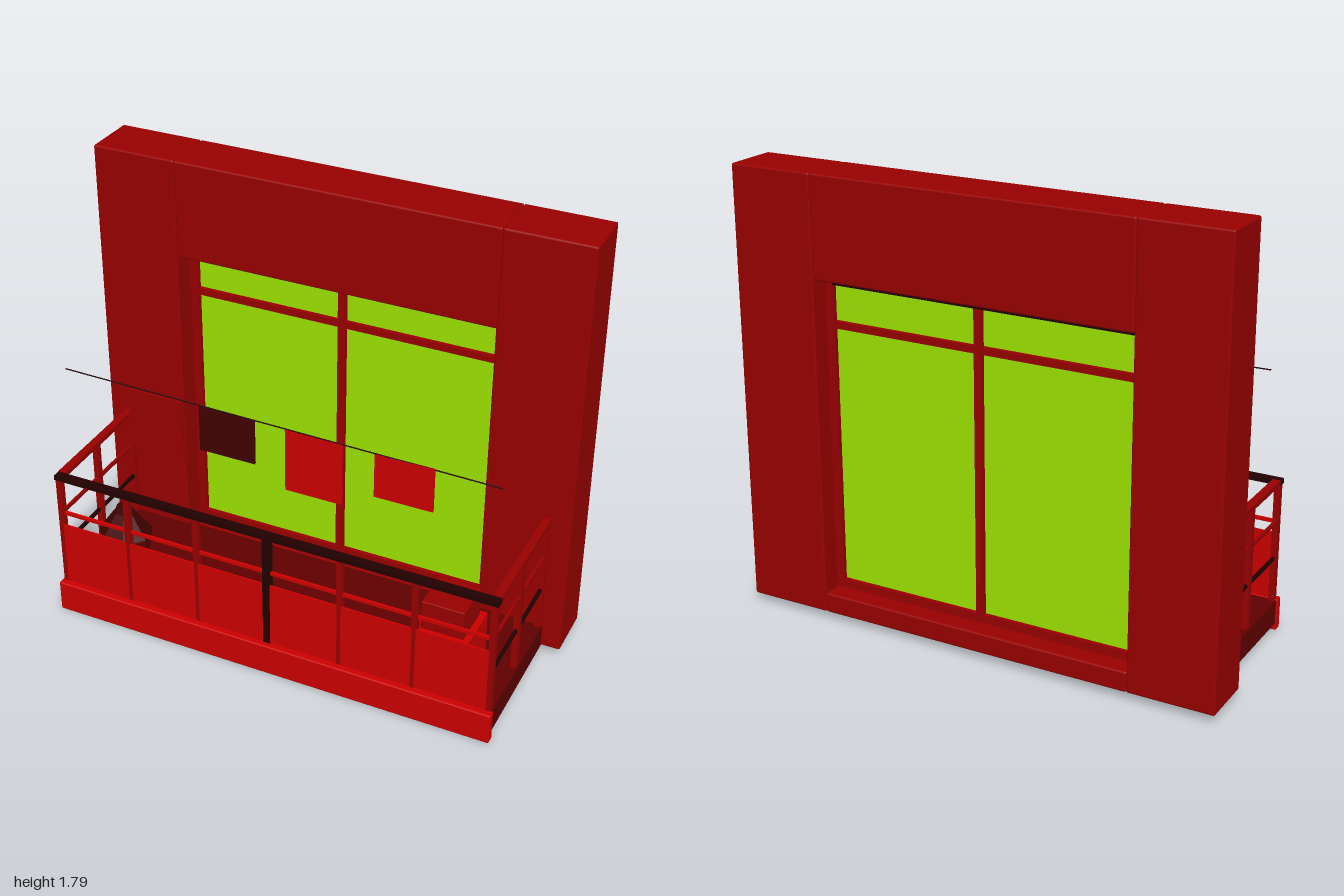
import * as THREE from 'three';
import { RoundedBoxGeometry } from 'three/addons/geometries/RoundedBoxGeometry.js';

export function createModel() {
  const model = new THREE.Group();
  model.name = 'balconyWindow';

  const mat = (name, color) => {
    const m = new THREE.MeshStandardMaterial({ color });
    m.name = name;
    return m;
  };
  const wallRed = mat('wallRed', 0x990000);
  const brightRed = mat('brightRed', 0xcc0000);
  const floorRed = mat('floorRed', 0x600000);
  const darkCloth = mat('darkCloth', 0x420000);
  const darkMetal = mat('darkMetal', 0x220000);
  const glassGreen = mat('glassGreen', 0x9ce300);

  const add = (name, geometry, material, parent = model) => {
    const mesh = new THREE.Mesh(geometry, material);
    mesh.name = name;
    parent.add(mesh);
    return mesh;
  };
  // Box given by its limits on each axis, optionally with softened edges
  const box = (name, material, [x0, x1], [y0, y1], [z0, z1], parent = model, r = 0) => {
    const size = [x1 - x0, y1 - y0, z1 - z0];
    const g = r ? new RoundedBoxGeometry(...size, 2, r) : new THREE.BoxGeometry(...size);
    const mesh = add(name, g, material, parent);
    mesh.position.set((x0 + x1) / 2, (y0 + y1) / 2, (z0 + z1) / 2);
    return mesh;
  };
  const group = (name) => {
    const g = new THREE.Group();
    g.name = name;
    model.add(g);
    return g;
  };

  // Wall: two piers, lintel and sill
  const wall = group('wall');
  const wallZ = [-0.405, -0.181];
  box('rightPier', wallRed, [-1, -0.654], [0.033, 1.79], wallZ, wall, 0.008);
  box('leftPier', wallRed, [0.654, 1], [0.033, 1.79], wallZ, wall, 0.008);
  box('lintel', wallRed, [-0.654, 0.654], [1.39, 1.79], wallZ, wall, 0.008);
  box('sill', wallRed, [-0.654, 0.654], [0.033, 0.115], wallZ, wall, 0.008);

  // Window: frame, bars and glass
  const win = group('window');
  const frameZ = [-0.325, -0.28];
  for (const s of [-1, 1]) {
    const x = s * 0.638;
    box('frameSide', wallRed, [x - 0.018, x + 0.018], [0.11, 1.39], frameZ, win);
  }
  box('frameTop', darkMetal, [-0.64, 0.62], [1.358, 1.392], [-0.33, -0.27], win);
  box('frameBottom', wallRed, [-0.62, 0.62], [0.11, 0.15], frameZ, win);
  box('mullion', wallRed, [-0.016, 0.016], [0.15, 1.358], frameZ, win);
  box('transom', wallRed, [-0.62, 0.62], [1.188, 1.216], frameZ, win);
  box('glass', glassGreen, [-0.62, 0.62], [0.15, 1.358], [-0.307, -0.298], win);

  // Balcony floor and front fascia
  box('floorSlab', floorRed, [-0.922, 0.922], [0.03, 0.13], [-0.195, 0.375]);
  box('fascia', brightRed, [-0.927, 0.927], [0, 0.132], [0.368, 0.405], model, 0.006);

  // Front railing: posts, panels and rails
  const railing = group('railing');
  const postX = 0.906, step = postX / 3, railZ = 0.366;
  for (let i = -3; i <= 3; i++) {
    const x = i * step;
    const center = i === 0;
    const half = center ? 0.015 : 0.012;
    box('frontPost', center ? darkMetal : wallRed, [x - half, x + half], [0.13, 0.622],
      [railZ - half, railZ + half], railing);
    if (i < 3) {
      box('panel', brightRed, [x + 0.008, x + step - 0.008], [0.135, 0.41],
        [railZ + 0.006, railZ + 0.0135], railing);
    }
  }
  box('handrail', darkMetal, [-0.922, 0.922], [0.618, 0.638], [0.347, 0.381], railing);
  box('frontRail', brightRed, [-postX, postX], [0.455, 0.468], [railZ - 0.006, railZ + 0.006], railing);

  // Side railings
  for (const s of [-1, 1]) {
    const x = s * postX;
    box('sideHandrail', wallRed, [x - 0.016, x + 0.016], [0.62, 0.64], [-0.185, 0.347], railing);
    box('sideRail', wallRed, [x - 0.006, x + 0.006], [0.455, 0.468], [-0.185, railZ], railing);
    box('sideLowerRail', darkMetal, [x - 0.006, x + 0.006], [0.304, 0.316], [-0.185, railZ], railing);
    for (const z of [0.095, -0.178]) {
      box('sidePost', wallRed, [x - 0.012, x + 0.012], [0.13, 0.622], [z - 0.012, z + 0.012], railing);
    }
  }

  // Faceted covered pot
  const pot = group('pot');
  pot.position.set(-0.733, 0, 0.19);
  pot.rotation.y = Math.PI;
  const potPart = (name, rTop, rBottom, y0, y1, material) => {
    const g = new THREE.CylinderGeometry(rTop, rBottom, y1 - y0, 7).toNonIndexed();
    g.computeVertexNormals();
    add(name, g, material, pot).position.y = (y0 + y1) / 2;
  };
  potPart('potBody', 0.11, 0.082, 0.13, 0.31, floorRed);
  potPart('potCover', 0.04, 0.11, 0.31, 0.41, darkCloth);
  potPart('potKnob', 0.027, 0.038, 0.41, 0.438, darkCloth);

  // Storage crate with a smaller box on top
  box('crate', brightRed, [0.553, 0.774], [0.13, 0.31], [0.046, 0.27], model, 0.008);
  box('crateTop', wallRed, [0.578, 0.75], [0.31, 0.435], [0.072, 0.246], model, 0.004);

  // Clothesline with hanging cloths
  const laundry = group('laundry');
  const line = new THREE.LineCurve3(new THREE.Vector3(-0.88, 1.088, 0.298), new THREE.Vector3(0.88, 1.062, 0.298));
  add('clothesline', new THREE.TubeGeometry(line, 1, 0.0025, 6), darkMetal, laundry);
  [
    [-0.606, 0.813, 1.073, wallRed],
    [-0.306, 0.888, 1.075, darkCloth],
    [0.047, 0.813, 1.07, brightRed],
    [0.4, 0.888, 1.068, brightRed],
  ].forEach(([x, y0, y1, material]) =>
    box('cloth', material, [x, x + 0.228], [y0, y1], [0.2935, 0.3025], laundry));

  return model;
}
